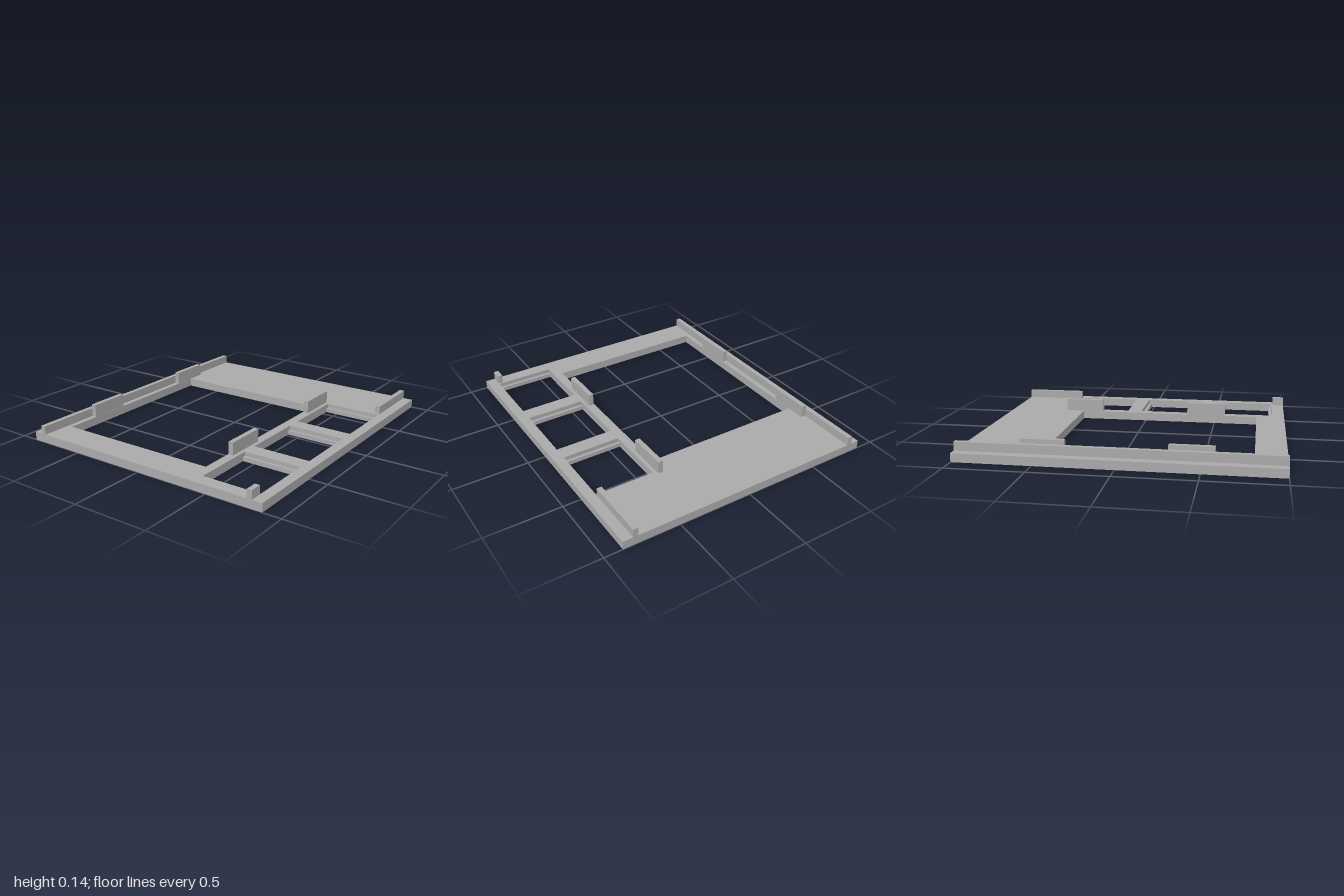
import * as THREE from 'three';

export function createModel() {
  const group = new THREE.Group();
  const grey = new THREE.MeshStandardMaterial({ color: 0xaaaaaa });
  grey.name = 'grey';

  const plateTop = 0.056;
  const ledgeTop = 0.028;

  // Box given by its extents on each axis
  function addBox(name, [x0, x1], [y0, y1], [z0, z1]) {
    const mesh = new THREE.Mesh(new THREE.BoxGeometry(x1 - x0, y1 - y0, z1 - z0), grey);
    mesh.position.set((x0 + x1) / 2, (y0 + y1) / 2, (z0 + z1) / 2);
    mesh.name = name;
    group.add(mesh);
  }

  // Rectangle on the plan; shape y is -z
  function rectangle(path, x0, x1, z0, z1) {
    path.moveTo(x0, -z1);
    path.lineTo(x1, -z1);
    path.lineTo(x1, -z0);
    path.lineTo(x0, -z0);
    path.closePath();
    return path;
  }

  // Base plate with one large and three small openings
  const smallOpenings = [[-0.912, -0.487], [-0.385, 0.041], [0.141, 0.568]];
  const smallZ = [0.42, 0.812];
  const outline = rectangle(new THREE.Shape(), -1, 1, -0.88, 0.88);
  outline.holes.push(rectangle(new THREE.Path(), -0.803, 0.466, -0.752, 0.358));
  for (const [x0, x1] of smallOpenings) {
    outline.holes.push(rectangle(new THREE.Path(), x0, x1, ...smallZ));
  }
  const plateGeometry = new THREE.ExtrudeGeometry(outline, { depth: plateTop, bevelEnabled: false });
  plateGeometry.rotateX(-Math.PI / 2);
  const plate = new THREE.Mesh(plateGeometry, grey);
  plate.name = 'basePlate';
  group.add(plate);

  // Low ledges along both sides of each small opening
  for (const [x0, x1] of smallOpenings) {
    addBox('openingLedgeRight', [x0, x0 + 0.02], [0, ledgeTop], smallZ);
    addBox('openingLedgeLeft', [x1 - 0.02, x1], [0, ledgeTop], smallZ);
  }

  // Rails along the back and the front corners
  const railY = [plateTop, 0.112];
  addBox('backRail', [-1, 1], railY, [-0.82, -0.787]);
  addBox('frontRailRight', [-1, -0.922], railY, [0.78, 0.813]);
  addBox('frontRailLeft', [0.582, 1], railY, [0.78, 0.813]);

  // Upright tabs on both sides of the large opening
  for (const x of [[-0.578, -0.304], [0.32, 0.594]]) {
    addBox('backTab', x, [plateTop, 0.14], [-0.787, -0.754]);
    addBox('frontTab', x, [plateTop, 0.14], [0.362, 0.395]);
  }

  return group;
}
